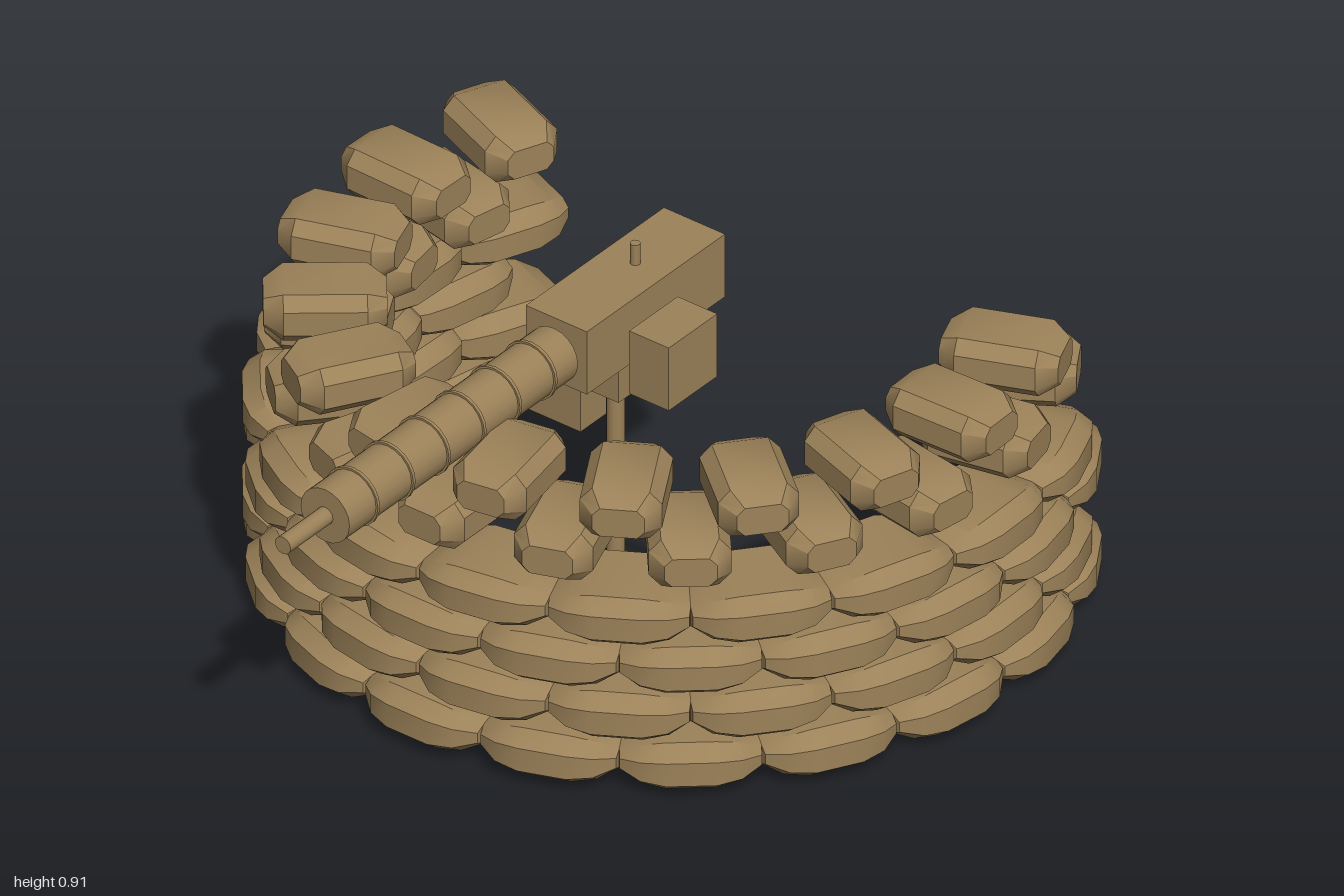
import * as THREE from 'three';
import { toCreasedNormals } from 'three/addons/utils/BufferGeometryUtils.js';

const tan = new THREE.MeshStandardMaterial({ color: 0x9c8259 });
tan.name = 'sandy tan';

// Pillow lofted along x from octagonal sections; stations are [x, height, depth] as fractions of size.
function bagGeometry(length, height, depth, stations) {
  const octagon = [[0.5, -0.25], [0.35, -0.5], [-0.35, -0.5], [-0.5, -0.25], [-0.5, 0.25], [-0.35, 0.5], [0.35, 0.5], [0.5, 0.25]];
  const positions = [], index = [], n = octagon.length;
  for (const [sx, sy, sz] of stations) {
    for (const [oz, oy] of octagon) positions.push(sx * length, oy * sy * height, oz * sz * depth);
  }
  for (let s = 0; s < stations.length - 1; s++) {
    for (let i = 0; i < n; i++) {
      const a = s * n + i, b = s * n + (i + 1) % n;
      index.push(a, b, a + n, b, b + n, a + n);
    }
  }
  const last = (stations.length - 1) * n;
  for (let i = 1; i < n - 1; i++) {
    index.push(0, i + 1, i, last, last + i, last + i + 1);
  }
  const g = new THREE.BufferGeometry();
  g.setAttribute('position', new THREE.Float32BufferAttribute(positions, 3));
  g.setIndex(index);
  return toCreasedNormals(g, 0.6);
}

export function createModel() {
  const model = new THREE.Group();
  model.name = 'sandbagGunNest';

  function add(name, geometry, x, y, z, parent = model) {
    const mesh = new THREE.Mesh(geometry, tan);
    mesh.name = name;
    mesh.position.set(x, y, z);
    parent.add(mesh);
    return mesh;
  }
  const box = (name, w, h, d, x, y, z, parent) => add(name, new THREE.BoxGeometry(w, h, d), x, y, z, parent);
  function rod(name, from, to, radius, sides, parent) {
    const a = new THREE.Vector3(...from), b = new THREE.Vector3(...to);
    const mid = a.clone().add(b).multiplyScalar(0.5);
    const mesh = add(name, new THREE.CylinderGeometry(radius, radius, a.distanceTo(b), sides), mid.x, mid.y, mid.z, parent);
    mesh.quaternion.setFromUnitVectors(new THREE.Vector3(0, 1, 0), b.sub(a).normalize());
    return mesh;
  }

  // Sandbag wall: six staggered rows, open at the back; the top two rows lie pointing inward
  const wall = new THREE.Group();
  wall.name = 'sandbagWall';
  model.add(wall);
  const longBag = bagGeometry(0.312, 0.122, 0.262, [
    [-0.5, 0.42, 0.6], [-0.36, 0.8, 0.88], [-0.18, 0.98, 1], [0.18, 0.98, 1], [0.36, 0.8, 0.88], [0.5, 0.42, 0.6],
  ]);
  const inwardBag = bagGeometry(0.272, 0.12, 0.182, [
    [-0.5, 0.6, 0.64], [-0.34, 1, 1], [0.34, 1, 1], [0.5, 0.6, 0.64],
  ]).rotateY(Math.PI / 2);
  const pitch = 20.4;
  const rowHeights = [0.068, 0.195, 0.32, 0.445, 0.57, 0.695];
  rowHeights.forEach((y, row) => {
    const lower = row < 4, radius = lower ? 0.81 : 0.76;
    for (let i = 0; i < 12; i++) {
      const angle = THREE.MathUtils.degToRad(pitch * (i - (row % 2 ? 5.5 : 5)));
      const bag = add(lower ? 'longSandbag' : 'inwardSandbag', lower ? longBag : inwardBag,
        Math.sin(angle) * radius, y, -0.38 + Math.cos(angle) * radius, wall);
      bag.rotation.y = angle;
    }
  });

  // Gun with ribbed jacket
  const gun = new THREE.Group();
  gun.name = 'gun';
  model.add(gun);
  box('receiver', 0.17, 0.165, 0.49, 0, 0.775, -0.215, gun);
  rod('barrelJacket', [0, 0.77, 0.04], [0, 0.77, 0.85], 0.068, 20, gun);
  for (let i = 0; i < 6; i++) {
    const z = 0.122 + i * 0.126;
    rod('jacketBand', [0, 0.77, z - 0.004], [0, 0.77, z + 0.004], 0.073, 20, gun);
  }
  rod('barrel', [0, 0.77, 0.85], [0, 0.77, 1], 0.022, 12, gun);
  rod('barrelRoot', [0, 0.77, 0.02], [0, 0.77, 0.05], 0.03, 12, gun);
  rod('sight', [0, 0.855, -0.25], [0, 0.91, -0.25], 0.012, 8, gun);
  box('ammoBox', 0.11, 0.165, 0.172, 0.155, 0.715, -0.187, gun);

  // Tripod mount
  const mount = new THREE.Group();
  mount.name = 'mount';
  model.add(mount);
  box('mountBlock', 0.075, 0.14, 0.075, 0, 0.63, -0.18, mount);
  rod('post', [0, 0, -0.18], [0, 0.58, -0.18], 0.021, 12, mount);
  for (const [x, z] of [[0, 0.13], [0.25, -0.37], [-0.25, -0.37]]) {
    rod('tripodLeg', [0, 0.4, -0.18], [x, 0.01, z], 0.012, 8, mount);
  }

  // Spare ammunition box on the ground
  box('spareAmmoBox', 0.175, 0.16, 0.12, -0.562, 0.08, -0.72);
  box('spareBoxHandle', 0.07, 0.008, 0.008, -0.53, 0.163, -0.72);

  return model;
}
